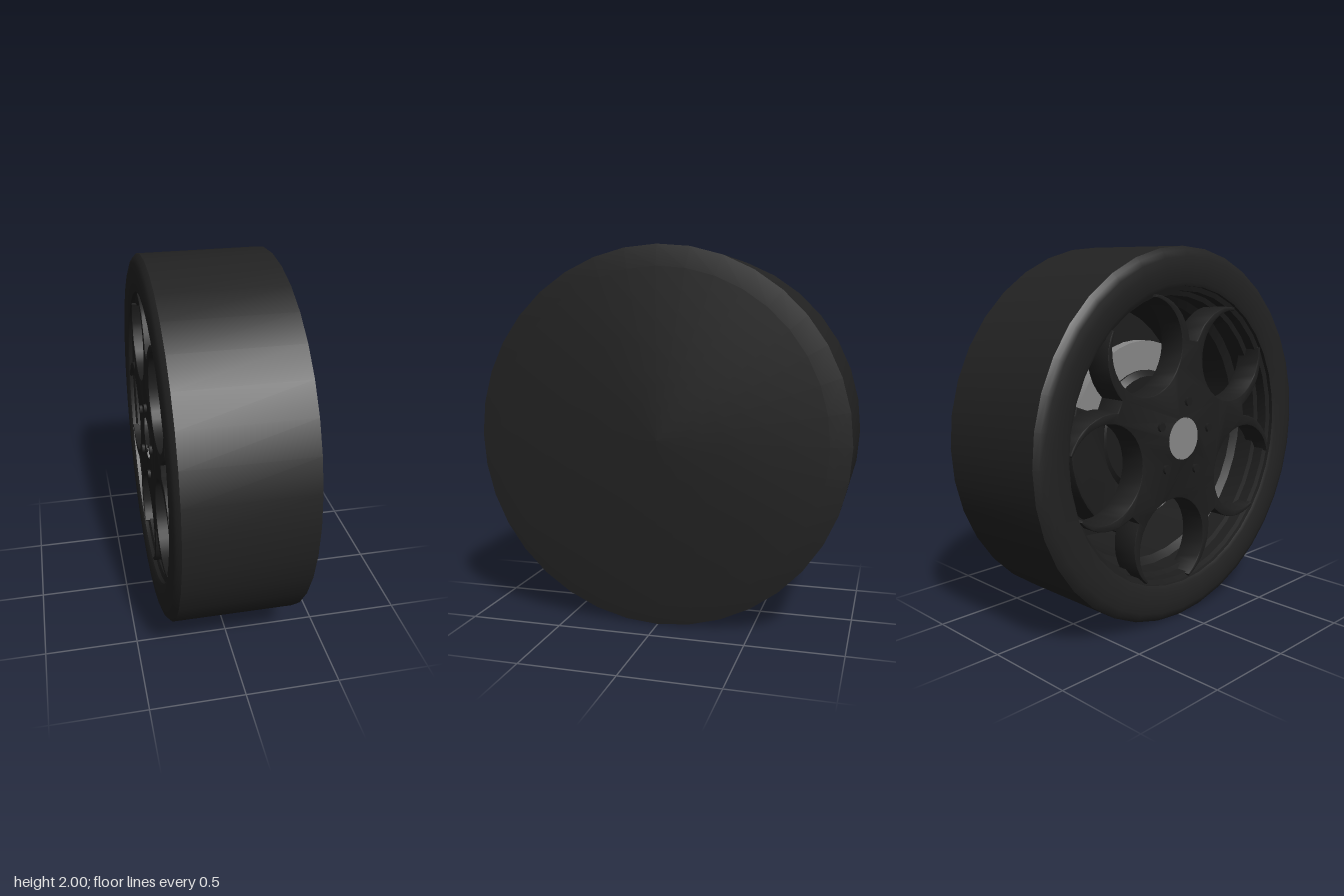
import * as THREE from 'three';
import { toCreasedNormals } from 'three/addons/utils/BufferGeometryUtils.js';

const material = (name, color) => {
  const m = new THREE.MeshStandardMaterial({ color });
  m.name = name;
  return m;
};
const RAD = Math.PI / 180;
const STEP = 72; // five-fold wheel pattern, degrees

export function createModel() {
  const rubber = material('black rubber', 0x222222);
  const alloy = material('dark alloy', 0x1e1e1e);
  const steel = material('grey steel', 0x888888);

  // The axle runs along x; the open, spoked side faces -x.
  const wheel = new THREE.Group();
  wheel.name = 'wheel';
  wheel.position.y = 1;

  const add = (name, geometry, mat) => {
    const mesh = new THREE.Mesh(geometry, mat);
    mesh.name = name;
    wheel.add(mesh);
    return mesh;
  };
  // Revolves [radius, x] pairs about the axle.
  const turned = (name, profile, mat, sides = 36) => {
    const points = profile.map(([r, x]) => new THREE.Vector2(r, x));
    const geometry = toCreasedNormals(new THREE.LatheGeometry(points, sides), 32 * RAD);
    return add(name, geometry.rotateZ(-Math.PI / 2), mat);
  };
  // Extrudes a shape drawn in (z, y) from frontX towards +x by depth.
  const plate = (name, shape, frontX, depth, bevel, mat) => {
    const geometry = new THREE.ExtrudeGeometry(shape, {
      depth: depth - 2 * bevel, bevelEnabled: bevel > 0, bevelSize: bevel,
      bevelThickness: bevel, bevelOffset: -bevel, bevelSegments: 2, curveSegments: 24,
    });
    geometry.translate(0, 0, -frontX - depth + bevel).rotateY(-Math.PI / 2);
    return add(name, toCreasedNormals(geometry, 30 * RAD), mat);
  };
  const polar = (r, degrees) =>
    new THREE.Vector2(r * Math.sin(degrees * RAD), r * Math.cos(degrees * RAD));

  // Tyre with rounded outer shoulder and closed flat back
  turned('tyre', [
    [0.8, -0.34], [0.82, -0.35], [0.9, -0.355], [0.95, -0.35], [0.98, -0.34],
    [1, -0.32], [1, 0.337], [0.89, 0.355], [0, 0.355],
  ], rubber);

  // Inner face of the rim: back wall, barrel and stepped lip
  turned('rimBarrel', [
    [0, 0.32], [0.68, 0.32], [0.71, -0.1], [0.75, -0.13], [0.75, -0.24],
    [0.775, -0.25], [0.775, -0.31], [0.8, -0.32], [0.8, -0.34],
  ], alloy);

  // Five round openings divide the face into forked, horn-tipped spokes
  const centre = 0.57, bore = 0.25, open = 40, root = 115;
  const outline = [];
  for (let k = 0; k < 5; k++) {
    const a = 44 + k * STEP;
    const c = polar(centre, a);
    const at = (r, phi) => outline.push(c.clone().add(polar(r, a + phi)));
    const horn = (t) => bore + 0.015 + 0.045 * t;
    for (let i = 0; i <= 8; i++) at(horn(1 - i / 8), -root + (root - open) * i / 8);
    for (let i = 0; i <= 30; i++) at(bore, -open - (360 - 2 * open) * i / 30);
    for (let i = 0; i <= 8; i++) at(horn(i / 8), open + (root - open) * i / 8);
  }
  const face = new THREE.Shape(outline);
  face.holes.push(new THREE.Path().absarc(0, 0, 0.12, 0, Math.PI * 2, true));
  plate('spokes', face, -0.34, 0.15, 0.006, alloy);

  // Hub barrel and grey centre cap behind the central bore
  turned('hub', [[0.13, -0.28], [0.2, -0.2], [0.2, 0.02]], alloy, 24);
  turned('centreCap', [[0, -0.3], [0.121, -0.3], [0.121, -0.27]], steel, 24);

  // Wheel bolts
  for (let k = 0; k < 5; k++) {
    const p = polar(0.2, 8 + k * STEP);
    const bolt = add('wheelBolt', new THREE.CylinderGeometry(0.025, 0.025, 0.03, 6).rotateZ(Math.PI / 2), alloy);
    bolt.position.set(-0.34, p.y, p.x);
  }

  // Brake disc with dark bell
  turned('brakeDisc', [[0.3, -0.03], [0.5, -0.03], [0.5, 0.03], [0.3, 0.03]], steel);
  turned('brakeBell', [[0, -0.07], [0.31, -0.07], [0.34, -0.04], [0.34, 0.05], [0, 0.05]], alloy);

  // Brake caliper straddling the disc on the -z side
  const caliper = new THREE.Shape();
  for (let i = 0; i <= 12; i++) {
    const p = polar(0.58, 195 + i * 8);
    if (i) caliper.lineTo(p.x, p.y); else caliper.moveTo(p.x, p.y);
  }
  for (let i = 12; i >= 0; i--) {
    const p = polar(0.35, 195 + i * 8);
    caliper.lineTo(p.x, p.y);
  }
  plate('brakeCaliper', caliper, -0.1, 0.2, 0.012, alloy);

  const model = new THREE.Group();
  model.name = 'wheelModel';
  model.add(wheel);
  return model;
}
